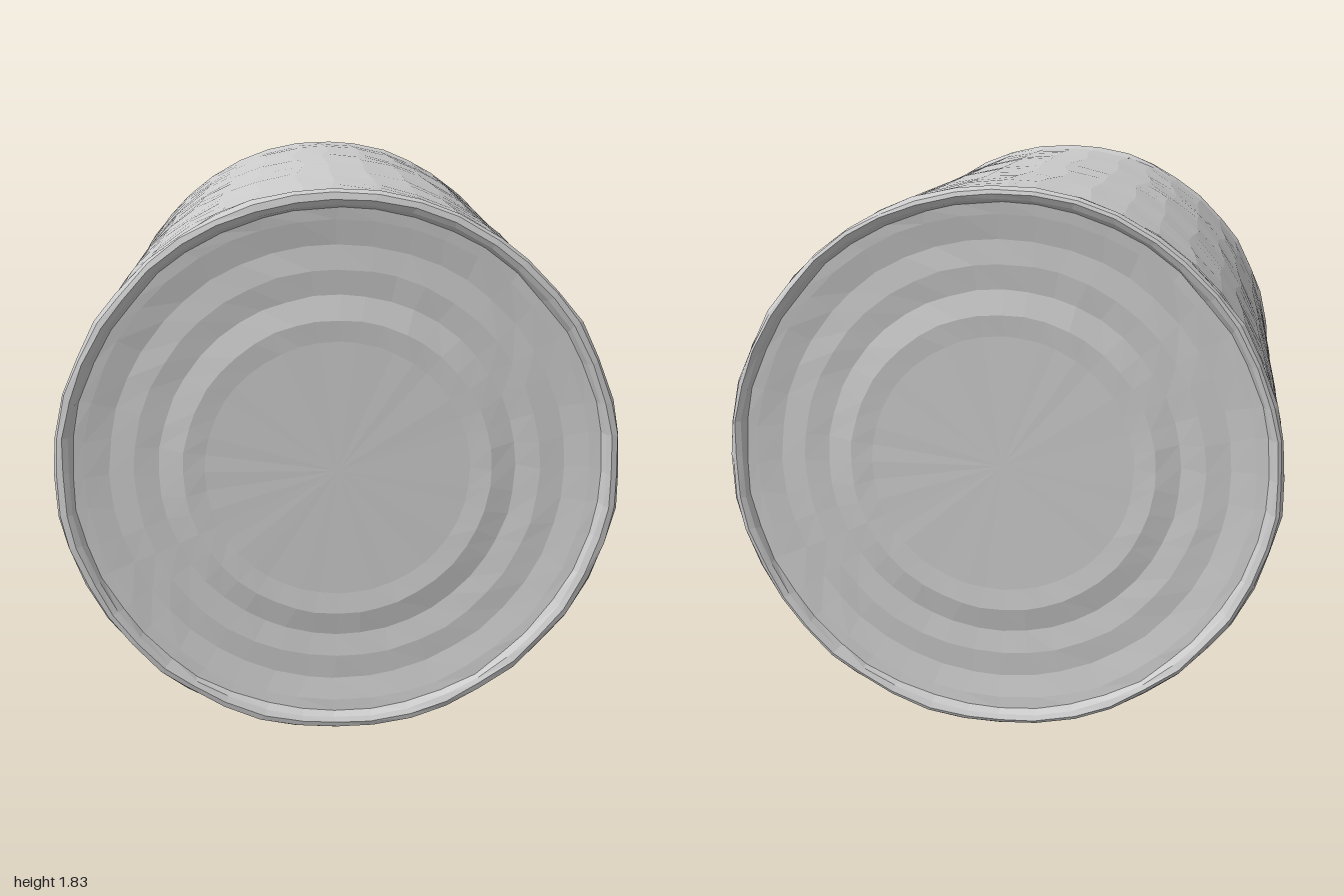
import * as THREE from 'three';

const SEGMENTS = 44;

// Irregular but continuous noise from position, so shared and seam vertices move alike
function noise(x, y, z) {
  return (Math.sin(x * 9.1 + z * 5.3) + Math.sin(y * 31.7 - z * 47.9 + 1.3) +
    Math.sin(x * 53 - y * 39 + z * 71)) / 3;
}

// Turned part around the z axis; profile is [radius, z], dented in and out,
// with its vertices shifted around and along the surface by the amount wander
function turned(name, profile, dent, wander, material) {
  const geometry = new THREE.LatheGeometry(
    profile.map(([r, z]) => new THREE.Vector2(r, z)), SEGMENTS);
  geometry.rotateX(Math.PI / 2);
  const p = geometry.attributes.position;
  const v = new THREE.Vector3();
  const axis = new THREE.Vector3(0, 0, 1);
  for (let i = 0; i < p.count; i++) {
    v.fromBufferAttribute(p, i);
    const { x, y, z } = v;
    const k = 1 + dent * noise(x, y, z);
    v.set(x * k, y * k, z + dent * 0.4 * noise(y, x, z) * Math.hypot(x, y));
    v.z += wander * noise(y, z, x) * (1 - Math.abs(z));
    v.applyAxisAngle(axis, wander * noise(z, x, y));
    p.setXYZ(i, v.x, v.y, v.z);
  }
  geometry.computeVertexNormals();
  const mesh = new THREE.Mesh(geometry, material);
  mesh.name = name;
  return mesh;
}

// Worn rim and shallow lid with rippled rings, facing +z
function canEnd(name, rimRadius, material) {
  const end = new THREE.Group();
  end.name = name;
  const rim = [
    [0.895, 0.9], [rimRadius - 0.005, 0.935], [rimRadius, 0.965],
    [rimRadius - 0.008, 0.984], [0.885, 0.99], [0.868, 0.98], [0.855, 0.958],
  ];
  const lid = [
    [0.86, 0.96], [0.82, 0.956], [0.74, 0.942], [0.66, 0.948], [0.58, 0.938],
    [0.5, 0.955], [0.43, 0.948], [0, 0.948],
  ];
  end.add(turned('rim', rim, 0.009, 0.03, material), turned('lid', lid, 0.006, 0.03, material));
  return end;
}

export function createModel() {
  const model = new THREE.Group();
  model.name = 'tinCan';
  const material = new THREE.MeshStandardMaterial({
    color: 0xcccccc, flatShading: true, side: THREE.DoubleSide,
  });

  const can = new THREE.Group();
  can.name = 'can';
  can.position.y = 0.912;
  can.rotation.x = -0.005;

  // Dented cylindrical wall
  const wall = [];
  for (let i = 0; i <= 18; i++) wall.push([0.902, -0.95 + (1.89 * i) / 18]);
  can.add(turned('wall', wall, 0.004, 0.04, material));

  // Two ends, the front rim slightly wider
  const front = canEnd('frontEnd', 0.912, material);
  front.position.z = 0.005;
  const back = canEnd('backEnd', 0.904, material);
  back.rotation.y = Math.PI;
  can.add(front, back);

  model.add(can);
  return model;
}
